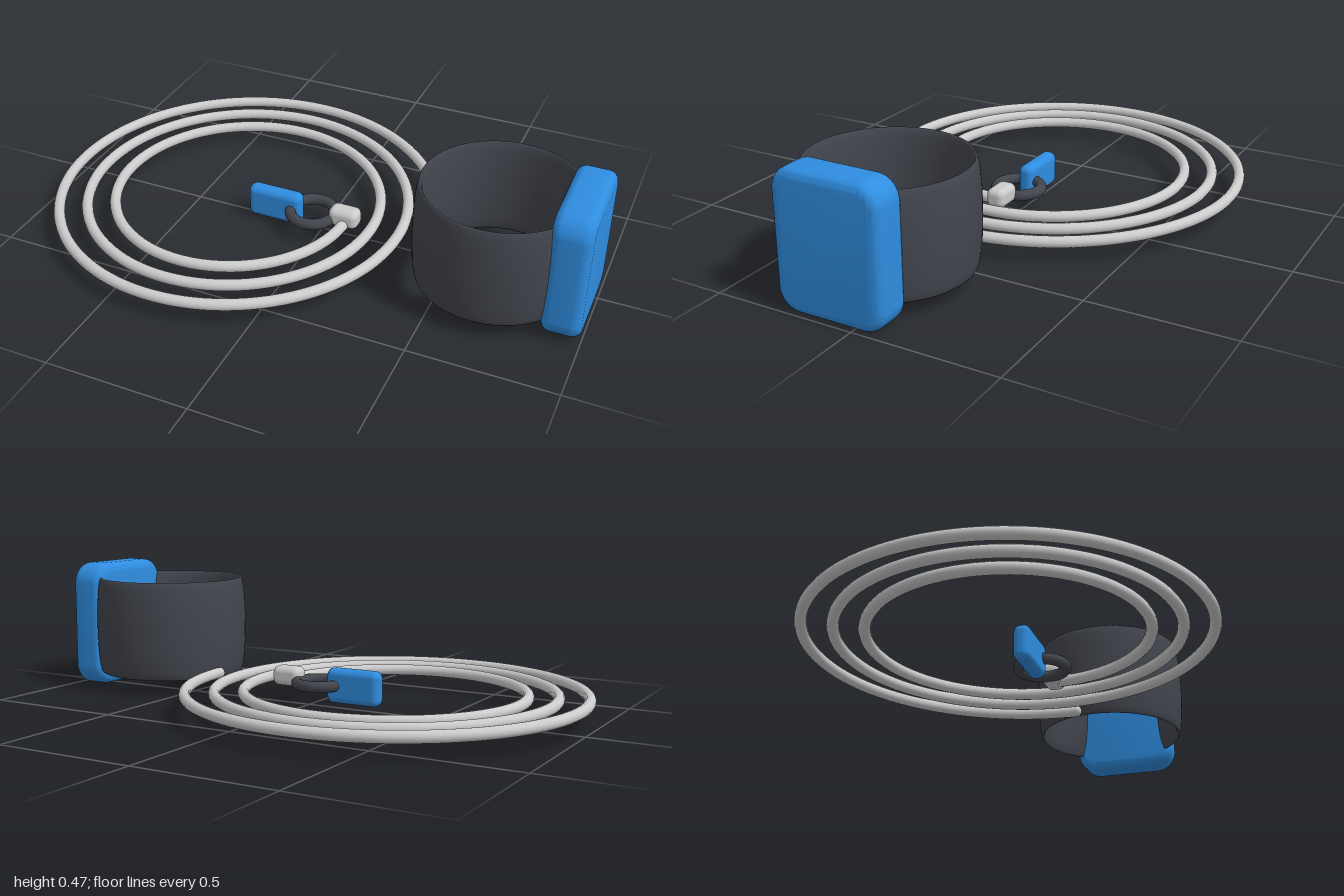
import * as THREE from 'three';
import { RoundedBoxGeometry } from 'three/addons/geometries/RoundedBoxGeometry.js';
import { toCreasedNormals } from 'three/addons/utils/BufferGeometryUtils.js';

const grey = new THREE.MeshStandardMaterial({ color: 0xcccccc });
const blue = new THREE.MeshStandardMaterial({ color: 0x2f8de0 });
const dark = new THREE.MeshStandardMaterial({ color: 0x42454d });

// Flat spiral with a constant gap between turns
class Spiral extends THREE.Curve {
  constructor(startRadius, pitch, turns) {
    super();
    Object.assign(this, { startRadius, pitch, turns });
  }
  getPoint(t, target = new THREE.Vector3()) {
    const a = t * this.turns * Math.PI * 2;
    const r = this.startRadius + this.pitch * t * this.turns;
    return target.set(r * Math.cos(a), 0, r * Math.sin(a));
  }
}

function roundedRect(w, h, r) {
  const s = new THREE.Shape();
  s.absarc(w / 2 - r, h / 2 - r, r, 0, Math.PI / 2);
  s.absarc(-w / 2 + r, h / 2 - r, r, Math.PI / 2, Math.PI);
  s.absarc(-w / 2 + r, -h / 2 + r, r, Math.PI, Math.PI * 1.5);
  s.absarc(w / 2 - r, -h / 2 + r, r, Math.PI * 1.5, Math.PI * 2);
  s.closePath();
  return s;
}

export function createModel() {
  const model = new THREE.Group();
  const add = (name, geometry, material, x, y, z, parent = model) => {
    const mesh = new THREE.Mesh(geometry, material);
    mesh.name = name;
    mesh.position.set(x, y, z);
    parent.add(mesh);
    return mesh;
  };

  // Coiled cord with rounded ends
  const cord = new THREE.Group();
  cord.name = 'cord';
  cord.position.set(-0.315, 0.076, 0.02);
  model.add(cord);
  const path = new Spiral(0.415, 0.1, 3);
  add('coil', new THREE.TubeGeometry(path, 300, 0.02, 14), grey, 0, 0, 0, cord);
  for (const t of [0, 1]) {
    const p = path.getPoint(t);
    add('cordEnd', new THREE.SphereGeometry(0.02, 14, 10), grey, p.x, p.y, p.z, cord);
  }

  // Wrist band: a torus stretched upwards
  const band = new THREE.TorusGeometry(0.266, 0.018, 24, 72);
  band.rotateX(Math.PI / 2).scale(1, 10, 1);
  add('wristBand', band, dark, 0.665, 0.238, 0.083);

  // Plate on the band
  const bevel = 0.032, w = 0.386, h = 0.468, depth = 0.132;
  const plate = new THREE.ExtrudeGeometry(
    roundedRect(w - 2 * bevel, h - 2 * bevel, 0.045),
    { depth: depth - 2 * bevel, bevelSize: bevel, bevelThickness: bevel, bevelSegments: 6, curveSegments: 8 }
  );
  plate.translate(0, 0, bevel - depth / 2).rotateY(Math.PI / 2);
  add('bandPlate', toCreasedNormals(plate, 0.6), blue, 0.93, 0.235, 0.083);

  // Clip at the inner end, linking ring and tag
  add('clip', new RoundedBoxGeometry(0.11, 0.07, 0.07, 4, 0.024), grey, 0.095, 0.094, 0.02);
  const ring = new THREE.TorusGeometry(0.08, 0.02, 14, 40).rotateX(Math.PI / 2);
  add('ring', ring, dark, -0.03, 0.078, 0.02);
  add('tag', new RoundedBoxGeometry(0.205, 0.124, 0.058, 4, 0.025), blue, -0.172, 0.077, 0.02);

  return model;
}
